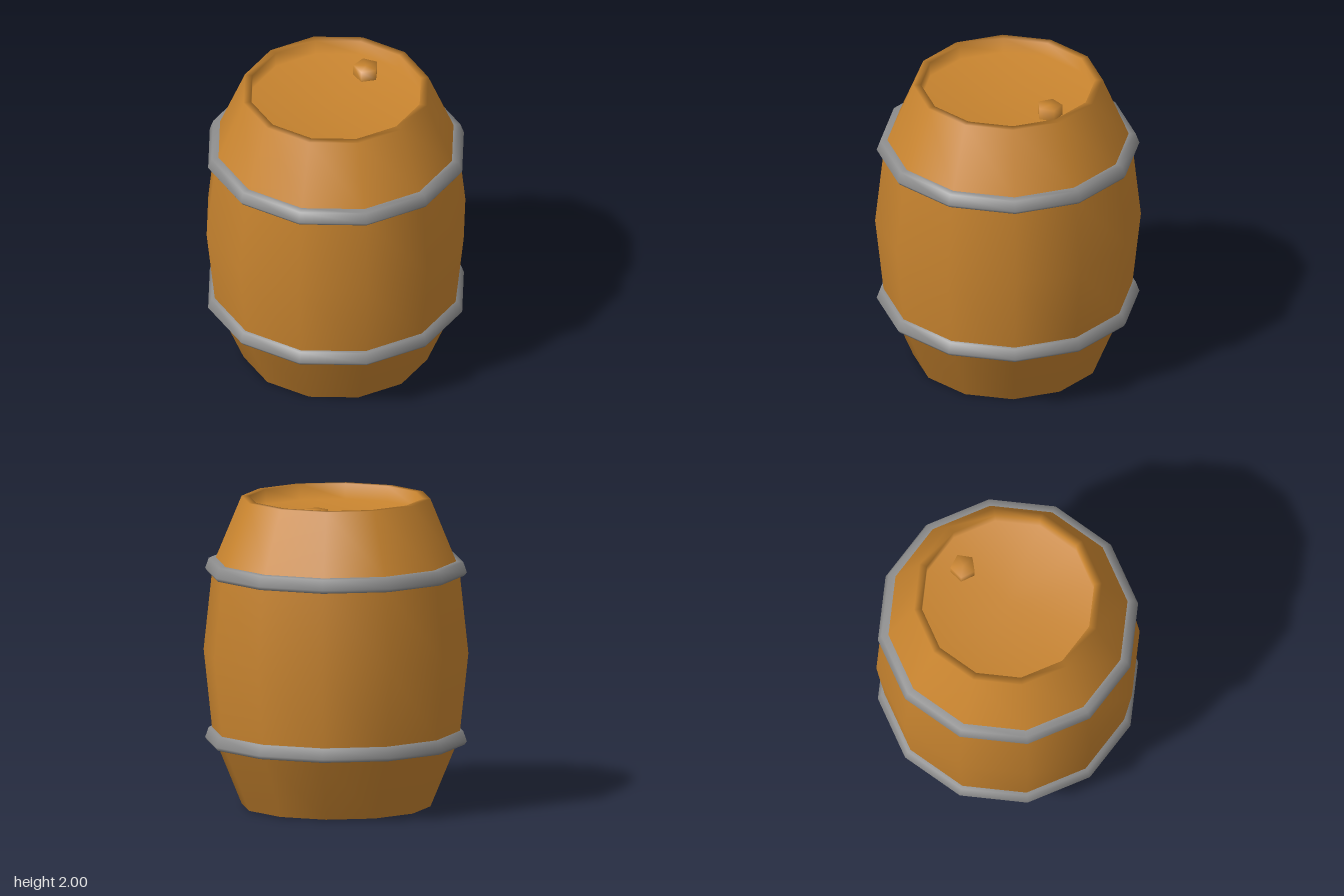
import * as THREE from 'three';

const wood = new THREE.MeshStandardMaterial({ color: 0xc8842f });
wood.name = 'wood';
const metal = new THREE.MeshStandardMaterial({ color: 0x8c8c8c });
metal.name = 'hoop metal';

// Revolve a [radius, height] profile around the y axis, outside facing out.
function turned(name, profile, sides, material) {
  const points = profile.map(([r, y]) => new THREE.Vector2(r, y));
  const mesh = new THREE.Mesh(new THREE.LatheGeometry(points, sides), material);
  mesh.name = name;
  return mesh;
}

export function createModel() {
  const barrel = new THREE.Group();
  barrel.name = 'barrel';

  // Staves and recessed ends; the steps sit under the hoops
  barrel.add(turned('barrelBody', [
    [0, 0.1], [0.56, 0.1], [0.56, 0], [0.61, 0],
    [0.78, 0.412], [0.81, 0.412], [0.81, 0.488], [0.8, 0.488],
    [0.855, 1],
    [0.8, 1.512], [0.81, 1.512], [0.81, 1.588], [0.78, 1.588],
    [0.61, 2], [0.56, 2], [0.56, 1.9], [0, 1.9],
  ], 12, wood));

  // Two identical hoops
  const hoopProfile = [
    [0.775, 0.005], [0.83, 0], [0.845, 0.022], [0.822, 0.088], [0.775, 0.092],
  ];
  for (const [name, y] of [['lowerHoop', 0.405], ['upperHoop', 1.505]]) {
    const hoop = turned(name, hoopProfile, 12, metal);
    hoop.position.y = y;
    barrel.add(hoop);
  }

  // Five-sided stopper on the top lid
  const stopper = turned('stopper', [[0.083, 0], [0.083, 0.075], [0, 0.075]], 5, wood);
  stopper.position.set(0.26, 1.9, -0.252);
  stopper.rotation.y = Math.PI;
  barrel.add(stopper);

  return barrel;
}
